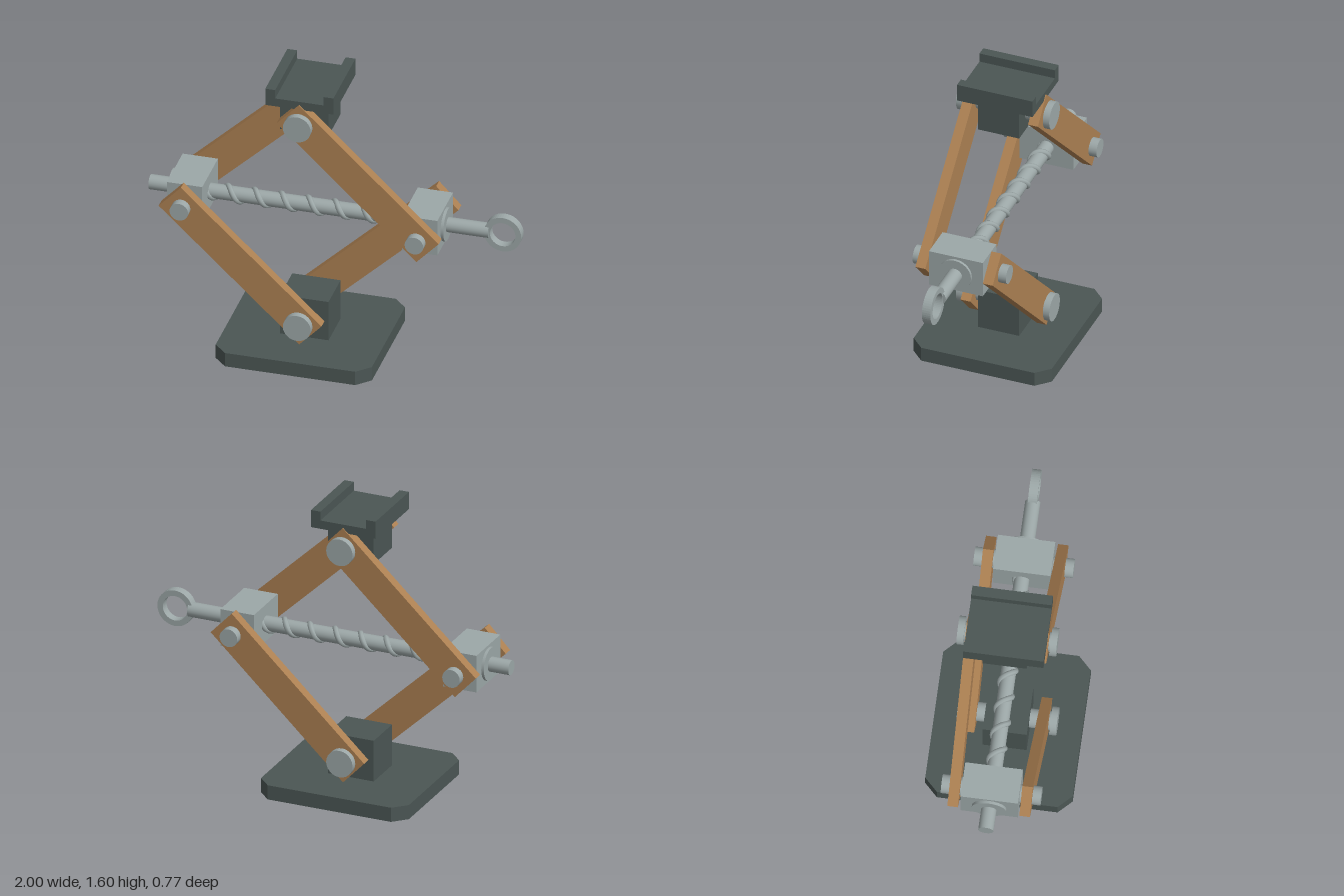
import * as THREE from 'three';

const WOOD = new THREE.MeshStandardMaterial({ color: 0xac8052 });
const DARK = new THREE.MeshStandardMaterial({ color: 0x4b5654 });
const STEEL = new THREE.MeshStandardMaterial({ color: 0x9ca7a7 });

const CX = -0.14, MID = 0.81;
const BOTTOM = [CX, 0.213], TOP = [CX, 1.408], LEFT = [-0.774, MID], RIGHT = [0.49, MID];

export function createModel() {
  const model = new THREE.Group();
  model.name = 'scissorJack';

  const add = (name, geometry, material, x = 0, y = 0, z = 0) => {
    const mesh = new THREE.Mesh(geometry, material);
    mesh.name = name;
    mesh.position.set(x, y, z);
    model.add(mesh);
    return mesh;
  };
  const box = (name, mat, w, h, d, x, y, z) => add(name, new THREE.BoxGeometry(w, h, d), mat, x, y, z);
  const rodX = (name, r, x0, x1) =>
    add(name, new THREE.CylinderGeometry(r, r, x1 - x0, 24).rotateZ(Math.PI / 2), STEEL, (x0 + x1) / 2, MID, 0);
  const rodZ = (name, r, length, [x, y], z = 0) =>
    add(name, new THREE.CylinderGeometry(r, r, length, 24).rotateX(Math.PI / 2), STEEL, x, y, z);

  // Base plate with cut corners
  const w = 0.42, d = 0.385, c = 0.07;
  const plate = new THREE.Shape([
    [-w + c, -d], [w - c, -d], [w, -d + c], [w, d - c],
    [w - c, d], [-w + c, d], [-w, d - c], [-w, -d + c],
  ].map(([x, y]) => new THREE.Vector2(x, y)));
  const plateGeo = new THREE.ExtrudeGeometry(plate, { depth: 0.08, bevelEnabled: false }).rotateX(-Math.PI / 2);
  add('basePlate', plateGeo, DARK, CX);
  box('baseBlock', DARK, 0.26, 0.23, 0.23, CX, 0.195, 0);

  // Saddle: block, floor and two lips
  box('saddleBlock', DARK, 0.26, 0.19, 0.23, CX, 1.405, 0);
  const u = new THREE.Shape([
    [-0.183, 1.5], [0.183, 1.5], [0.183, 1.597], [0.13, 1.597],
    [0.13, 1.547], [-0.13, 1.547], [-0.13, 1.597], [-0.183, 1.597],
  ].map(([x, y]) => new THREE.Vector2(x, y)));
  add('saddle', new THREE.ExtrudeGeometry(u, { depth: 0.42, bevelEnabled: false }), DARK, CX, 0, -0.21);

  // Arms: one diagonal pair in front, the opposite pair behind
  const arm = (name, [x0, y0], [x1, y1], z) => {
    const length = Math.hypot(x1 - x0, y1 - y0) + 0.168;
    const mesh = box(name, WOOD, length, 0.174, 0.055, (x0 + x1) / 2, (y0 + y1) / 2, z);
    mesh.rotation.z = Math.atan2(y1 - y0, x1 - x0);
  };
  arm('frontLowerArm', LEFT, BOTTOM, 0.188);
  arm('frontUpperArm', TOP, RIGHT, 0.188);
  arm('backLowerArm', BOTTOM, RIGHT, -0.188);
  arm('backUpperArm', LEFT, TOP, -0.188);

  // Headed pivot pins at top and bottom
  for (const [name, p] of [['bottom', BOTTOM], ['top', TOP]]) {
    rodZ(name + 'Pin', 0.05, 0.48, p);
    for (const s of [-1, 1]) rodZ(name + 'PinHead', 0.075, 0.035, p, s * 0.2425);
  }

  // Trunnion blocks with plain pins and outer collars
  for (const [name, p, s] of [['right', LEFT, -1], ['left', RIGHT, 1]]) {
    box(name + 'Trunnion', STEEL, 0.19, 0.207, 0.3, p[0], MID, 0);
    rodZ(name + 'TrunnionPin', 0.05, 0.52, p);
    const face = p[0] + s * 0.11;
    rodX(name + 'Collar', 0.09, Math.min(p[0], face), Math.max(p[0], face));
  }

  // Lead screw with a helical thread
  rodX('screwRod', 0.04, -1, 0.825);
  const helix = new THREE.Curve();
  helix.getPoint = (t, out = new THREE.Vector3()) => {
    const a = t * 8 * Math.PI * 2;
    return out.set(-0.72 + 1.15 * t, MID + 0.036 * Math.cos(a), 0.036 * Math.sin(a));
  };
  add('screwThread', new THREE.TubeGeometry(helix, 160, 0.016, 8), STEEL);

  // Flat eye ring at the end of the screw
  const ring = new THREE.Shape().absarc(0, 0, 0.1, 0, Math.PI * 2);
  ring.holes.push(new THREE.Path().absarc(0, 0, 0.069, 0, Math.PI * 2, true));
  const ringGeo = new THREE.ExtrudeGeometry(ring, { depth: 0.048, bevelEnabled: false, curveSegments: 24 });
  add('eyeRing', ringGeo, STEEL, 0.9, MID, -0.024);

  return model;
}
